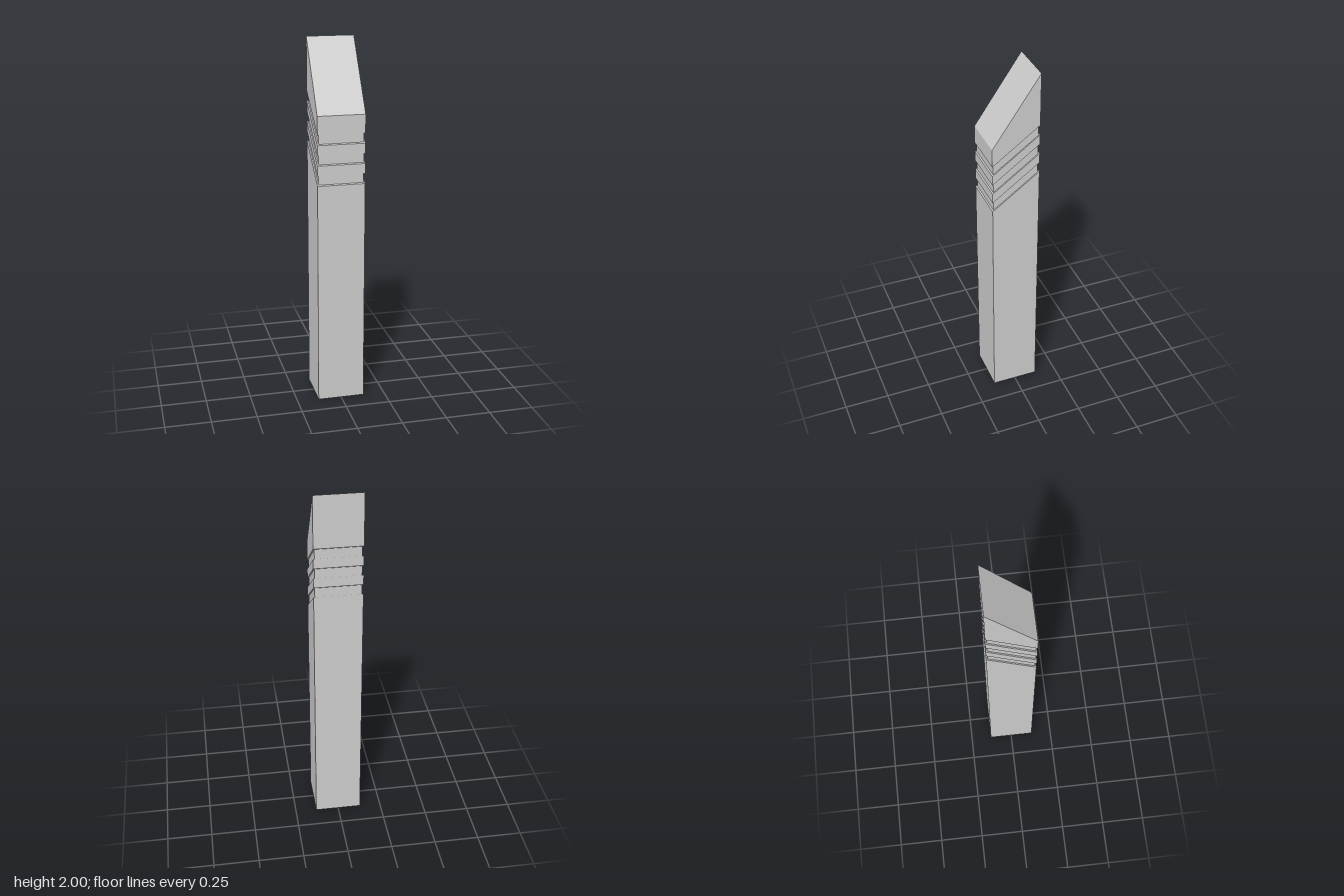
import * as THREE from 'three';

const HALF = 0.13;        // half width of the post
const INSET = 0.007;      // depth of the grooves
const RISE = 0.19;        // how far each groove climbs from front to back
const PITCH = 0.055;      // height of each groove and of each band between
const GROOVE_START = 1.245;

const material = new THREE.MeshStandardMaterial({ color: 0xcccccc, flatShading: true });

// Square block whose ends slope in z: bottom and top are { front, rise }
// heights at the front face, and their climb to the back face.
function slopedBlock(name, half, bottom, top) {
  const geometry = new THREE.BoxGeometry(2 * half, 1, 2 * half);
  const pos = geometry.attributes.position;
  for (let i = 0; i < pos.count; i++) {
    const end = pos.getY(i) > 0 ? top : bottom;
    const back = (HALF - pos.getZ(i)) / (2 * HALF);
    pos.setY(i, end.front + end.rise * back);
  }
  geometry.computeVertexNormals();
  const mesh = new THREE.Mesh(geometry, material);
  mesh.name = name;
  return mesh;
}

export function createModel() {
  const group = new THREE.Group();
  group.name = 'bollard';
  const level = (i) => ({ front: GROOVE_START + i * PITCH, rise: RISE });

  // Plain shaft up to the first groove
  group.add(slopedBlock('shaft', HALF, { front: 0, rise: 0 }, level(0)));

  // Three recessed grooves with two full-width bands between them
  for (let i = 0; i < 5; i++) {
    const groove = i % 2 === 0;
    group.add(slopedBlock(groove ? 'groove' : 'band', groove ? HALF - INSET : HALF, level(i), level(i + 1)));
  }

  // Cap with the steep slanted top
  group.add(slopedBlock('cap', HALF, level(5), { front: 1.62, rise: 0.38 }));

  return group;
}
